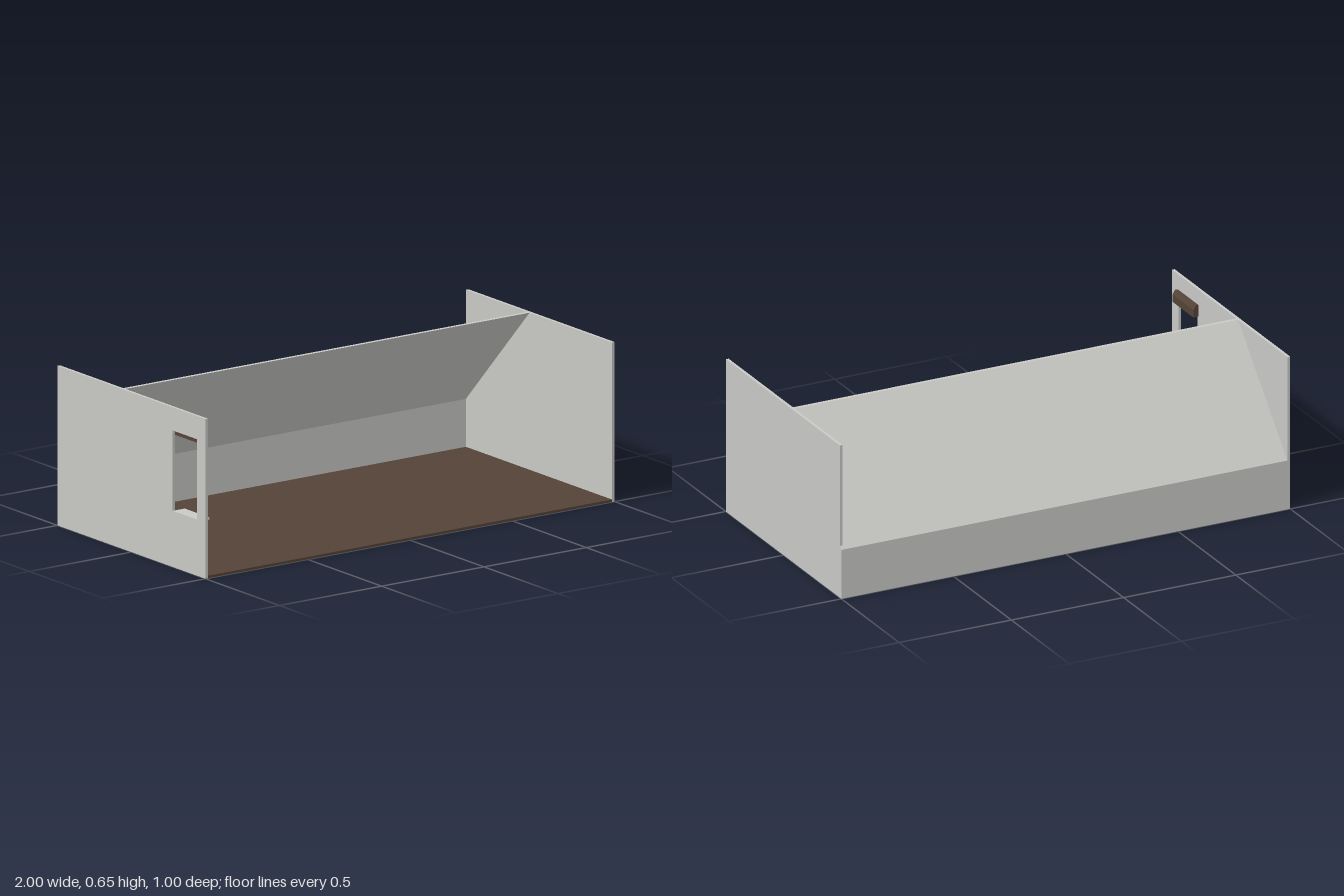
import * as THREE from 'three';

const wallPaint = new THREE.MeshStandardMaterial({ color: 0xc8c8c5 });
wallPaint.name = 'wallPaint';
const darkWood = new THREE.MeshStandardMaterial({ color: 0x554337 });
darkWood.name = 'darkWood';

const T = 0.0125; // wall thickness
const toShape = (pts) => new THREE.Shape(pts.map(([z, y]) => new THREE.Vector2(z, y)));

// Extrudes a (z, y) section along x, from x0 to x1
function section(name, shape, x0, x1, material) {
  const geo = new THREE.ExtrudeGeometry(shape, { depth: x1 - x0, bevelEnabled: false });
  geo.rotateY(-Math.PI / 2).translate(x1, 0, 0);
  const mesh = new THREE.Mesh(geo, material);
  mesh.name = name;
  return mesh;
}

export function createModel() {
  const room = new THREE.Group();
  room.name = 'atticRoom';
  const inner = 1 - T;

  // Floor between the walls
  const floor = new THREE.Mesh(new THREE.BoxGeometry(2 * inner, 0.01, 1 - T), darkWood);
  floor.position.set(0, 0.0055, T / 2);
  floor.name = 'floor';
  room.add(floor);

  // Plain end wall, stepped in above the knee wall
  const plain = toShape([[-0.5, 0], [0.5, 0], [0.5, 0.655], [-0.4875, 0.655], [-0.4875, 0.2225], [-0.5, 0.21]]);
  room.add(section('leftWall', plain, inner, 1, wallPaint));

  // End wall with window opening
  const pierced = toShape([[-0.5, 0], [0.5, 0], [0.5, 0.655], [-0.5, 0.655]]);
  pierced.holes.push(toShape([[0.277, 0.22], [0.277, 0.56], [0.443, 0.56], [0.443, 0.22]]));
  room.add(section('rightWall', pierced, -1, -inner, wallPaint));

  // Low back wall and sloping ceiling
  const knee = toShape([[-0.5, 0], [-0.4875, 0], [-0.4875, 0.207], [-0.5, 0.21]]);
  room.add(section('kneeWall', knee, -inner, inner, wallPaint));
  const slope = toShape([[-0.5, 0.21], [-0.4875, 0.207], [-0.057, 0.655], [-0.073, 0.655]]);
  room.add(section('slopedCeiling', slope, -inner, inner, wallPaint));

  // Window sill and the bevelled blind box above the opening
  const sill = toShape([[0.277, 0.22], [0.443, 0.22], [0.443, 0.23], [0.277, 0.23]]);
  room.add(section('windowSill', sill, -0.999, -0.94, wallPaint));
  const profile = new THREE.Shape([[-inner, 0.54], [-0.965, 0.54], [-0.965, 0.572], [-0.976, 0.59], [-inner, 0.59]]
    .map(([x, y]) => new THREE.Vector2(x, y)));
  const blind = new THREE.Mesh(new THREE.ExtrudeGeometry(profile, { depth: 0.18, bevelEnabled: false }), darkWood);
  blind.position.z = 0.27;
  blind.name = 'blindBox';
  room.add(blind);

  return room;
}
